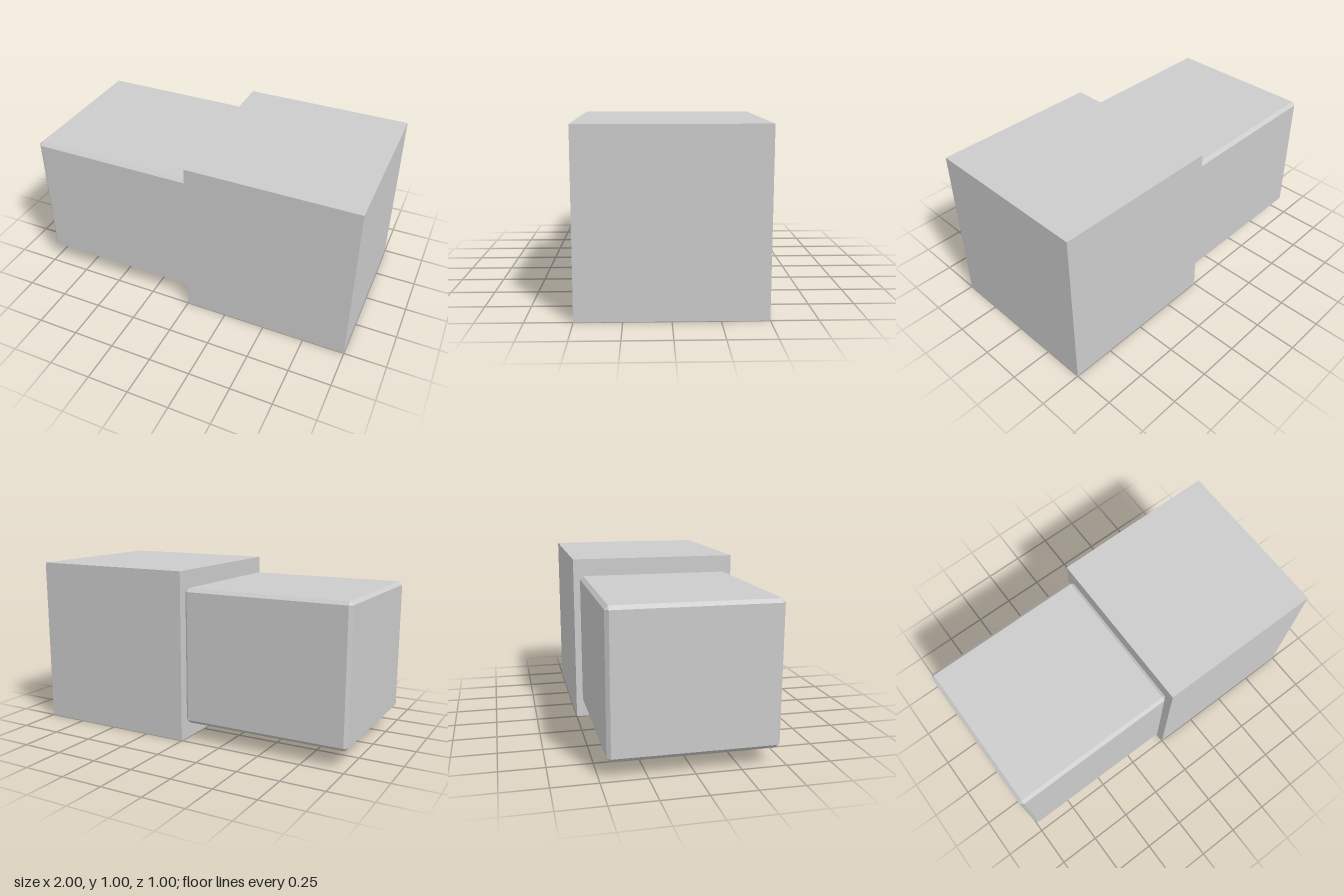
import * as THREE from 'three';
import { ConvexGeometry } from 'three/addons/geometries/ConvexGeometry.js';

// Box whose twelve edges are cut by a flat bevel
function bevelledBox(width, height, depth, bevel) {
  const half = [width / 2, height / 2, depth / 2];
  const points = [];
  for (const sx of [-1, 1]) for (const sy of [-1, 1]) for (const sz of [-1, 1]) {
    // each corner becomes three points, one on each neighbouring face
    for (let face = 0; face < 3; face++) {
      const [x, y, z] = half.map((h, axis) => (axis === face ? h : h - bevel));
      points.push(new THREE.Vector3(sx * x, sy * y, sz * z));
    }
  }
  return new ConvexGeometry(points);
}

export function createModel() {
  const group = new THREE.Group();
  group.name = 'twoBlocks';
  const material = new THREE.MeshStandardMaterial({ color: 0xcccccc, flatShading: true });

  function add(name, geometry, x, y, z) {
    const mesh = new THREE.Mesh(geometry, material);
    mesh.name = name;
    mesh.position.set(x, y, z);
    group.add(mesh);
  }

  // Large sharp-edged cube
  add('cube', new THREE.BoxGeometry(1, 1, 1), 0.5, 0.5, 0);

  // Smaller block with bevelled edges, touching the cube's side
  add('bevelledBlock', bevelledBox(1, 0.8, 0.925, 0.02), -0.5, 0.5, 0);

  return group;
}
